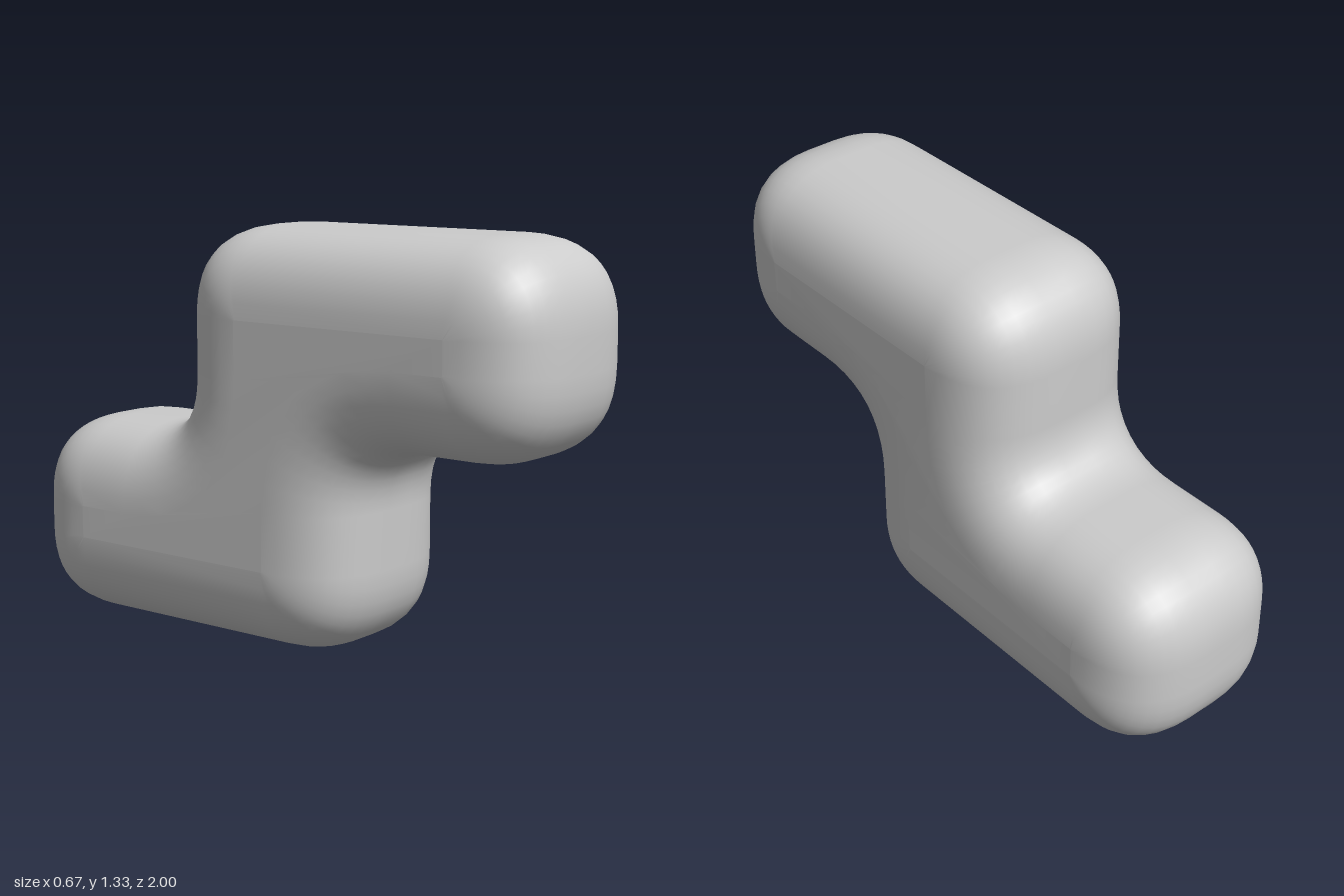
import * as THREE from 'three';

const U = 2 / 3;          // side of one square cell
const HALF = U / 2;       // half thickness in x
const ROUND = 0.28;       // reach of the outer rounding
const FILLET = 0.2;       // reach of the inner-corner rounding
const STEPS = 10;

// Stepped outline seen from the side, counter-clockwise, as (-z, y)
const OUTLINE = [
  [-HALF, 0], [1, 0], [1, U], [HALF, U],
  [HALF, 2 * U], [-1, 2 * U], [-1, U], [-HALF, U],
].map(([a, b]) => new THREE.Vector2(a, b));

// Outline moved inwards by d, with every corner rounded
function insetLoop(d) {
  const points = [];
  const n = OUTLINE.length;
  OUTLINE.forEach((p, i) => {
    const e1 = p.clone().sub(OUTLINE[(i + n - 1) % n]).normalize();
    const e2 = OUTLINE[(i + 1) % n].clone().sub(p).normalize();
    const convex = e1.cross(e2) > 0;
    const t = convex ? Math.max(ROUND - d, 0.004) : FILLET + d;
    const c = new THREE.Vector2(p.x - d * (e1.y + e2.y), p.y + d * (e1.x + e2.x));
    const arc = new THREE.QuadraticBezierCurve(
      c.clone().addScaledVector(e1, -t), c, c.clone().addScaledVector(e2, t));
    points.push(...arc.getPoints(STEPS));
  });
  return points;
}

function roundedStepGeometry() {
  // Cross-sections from the right side to the left side: [x, inset]
  const bevel = [];
  for (let k = 0; k <= STEPS; k++) {
    const s = k / STEPS;
    bevel.push([HALF - ROUND * (1 - s) ** 2, ROUND * s * s]);
  }
  const sections = [...bevel.map(([x, d]) => [-x, d]).reverse(), ...bevel];
  const loops = sections.map(([, d]) => insetLoop(d));
  const n = loops[0].length;
  const positions = [];
  const index = [];

  loops.forEach((loop, j) => loop.forEach((p) => positions.push(sections[j][0], p.y, -p.x)));

  // Skin between neighbouring loops
  for (let j = 0; j < loops.length - 1; j++) {
    for (let i = 0; i < n; i++) {
      const a = j * n + i;
      const b = j * n + (i + 1) % n;
      index.push(a, b, a + n, b, b + n, a + n);
    }
  }

  // Flat side faces
  const last = (loops.length - 1) * n;
  for (const [a, b, c] of THREE.ShapeUtils.triangulateShape(loops[0], [])) {
    index.push(a, c, b, last + a, last + b, last + c);
  }

  const geometry = new THREE.BufferGeometry();
  geometry.setAttribute('position', new THREE.Float32BufferAttribute(positions, 3));
  geometry.setIndex(index);
  geometry.computeVertexNormals();
  return geometry;
}

export function createModel() {
  const group = new THREE.Group();
  group.name = 'steppedBlock';
  const body = new THREE.Mesh(
    roundedStepGeometry(), new THREE.MeshStandardMaterial({ color: 0xcccccc }));
  body.name = 'roundedBody';
  group.add(body);
  return group;
}
